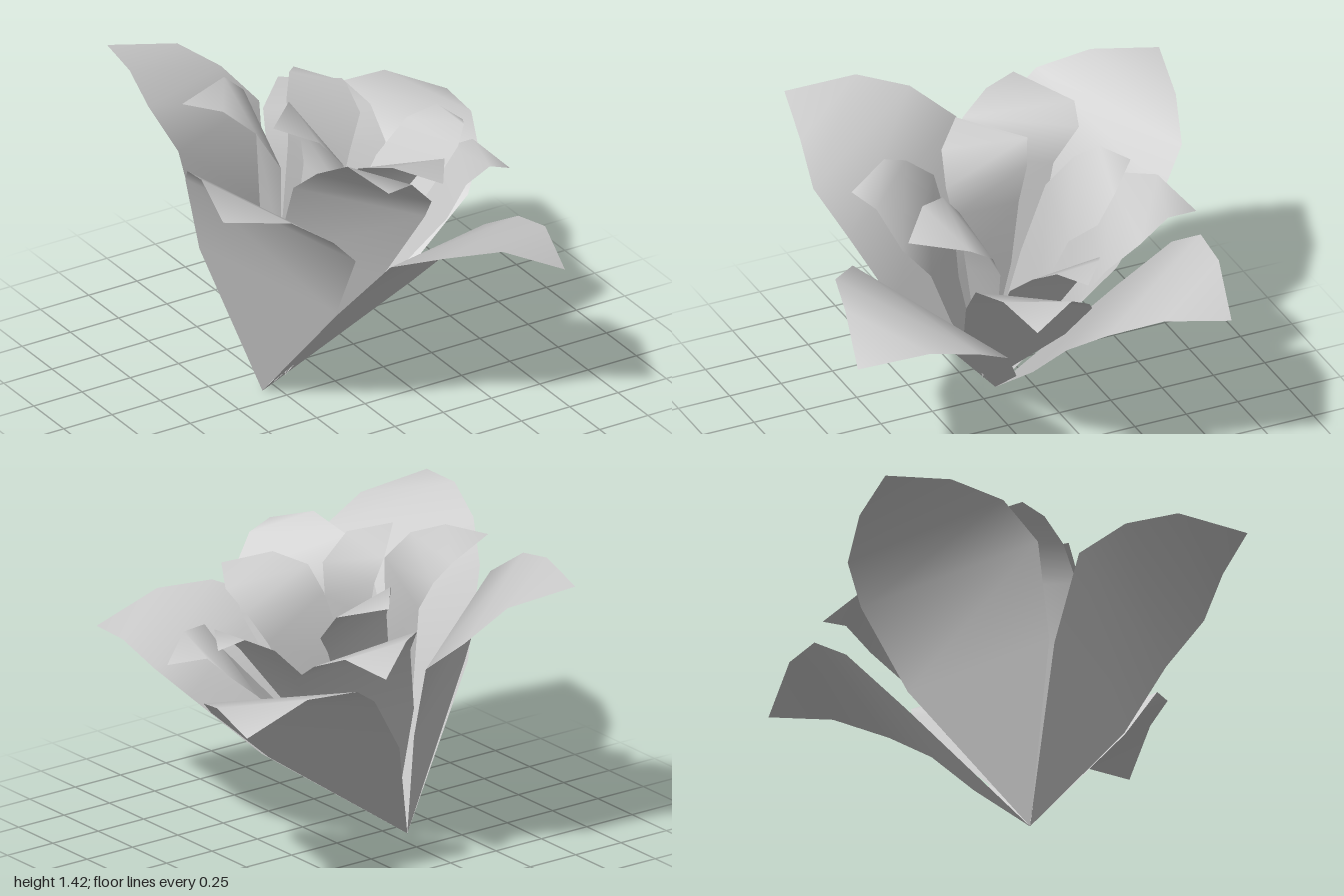
import * as THREE from 'three';

const material = new THREE.MeshStandardMaterial({ color: 0xcccccc, side: THREE.DoubleSide });
const vec = (p) => new THREE.Vector3(...p);

// A petal is a strip of straight cross-sections from a pointed base to a folded tip.
// The rim runs up the left edge (3 points), over the tip and down the right edge (3 points).
function makePetal(name, base, rim) {
  const root = vec(base);
  const pts = rim.map(vec);
  const rows = [[pts[0], pts[6]], [pts[1], pts[5]], [pts[2], pts[4]]];

  // lowest row: part way to the base and a little wider than a straight taper
  const [left, right] = rows[0];
  const mid = left.clone().add(right).multiplyScalar(0.5);
  rows.unshift([left, right].map((p) =>
    p.clone().sub(mid).multiplyScalar(1.25).add(mid).sub(root).multiplyScalar(0.64).add(root)));

  const verts = [root, ...rows.flat(), pts[3]];
  const index = [0, 2, 1];
  for (let i = 0; i < rows.length - 1; i++) {
    const a = 1 + 2 * i; // left, right, next left, next right = a .. a + 3
    index.push(a, a + 1, a + 3, a, a + 3, a + 2);
  }
  index.push(7, 8, 9);

  const geometry = new THREE.BufferGeometry().setFromPoints(verts);
  geometry.setIndex(index);
  geometry.computeVertexNormals();
  const mesh = new THREE.Mesh(geometry, material);
  mesh.name = name;
  return mesh;
}

// Four large outer petals
const outer = {
  Front: [[-0.14, 0.92, 0.69], [0.04, 0.99, 0.86], [0.29, 0.985, 0.93], [0.57, 0.85, 1.0],
    [0.66, 0.9, 0.69], [0.67, 0.84, 0.45], [0.6, 0.74, 0.28]],
  Left: [[0.29, 0.93, -0.66], [0.44, 1.03, -0.73], [0.69, 1.04, -0.7], [0.97, 0.9, -0.63],
    [0.91, 0.94, -0.33], [0.81, 0.87, -0.1], [0.67, 0.755, 0.03]],
  Back: [[0.06, 1.05, -0.73], [-0.05, 1.19, -0.87], [-0.24, 1.33, -0.93], [-0.56, 1.38, -1.0],
    [-0.63, 1.41, -0.7], [-0.68, 1.35, -0.46], [-0.65, 1.21, -0.26]],
  Right: [[-0.29, 0.97, 0.64], [-0.46, 1.15, 0.73], [-0.66, 1.29, 0.7], [-0.97, 1.35, 0.63],
    [-0.89, 1.4, 0.32], [-0.82, 1.32, 0.09], [-0.72, 1.17, -0.09]],
};

// Four middle petals
const middle = {
  Front: [[-0.34, 1.15, 0.2], [-0.31, 1.28, 0.35], [-0.24, 1.36, 0.49], [-0.15, 1.29, 0.69],
    [0.0, 1.27, 0.64], [0.14, 1.12, 0.58], [0.18, 0.98, 0.46]],
  Left: [[0.55, 0.86, -0.15], [0.65, 0.95, -0.09], [0.7, 1.02, 0.02], [0.77, 0.945, 0.22],
    [0.61, 1.04, 0.31], [0.45, 1.02, 0.37], [0.35, 0.88, 0.37]],
  Back: [[0.43, 0.95, -0.27], [0.45, 1.06, -0.43], [0.4, 1.13, -0.59], [0.31, 1.07, -0.77],
    [0.12, 1.18, -0.67], [-0.05, 1.14, -0.52], [-0.11, 1.0, -0.39]],
  Right: [[-0.36, 1.22, 0.13], [-0.42, 1.36, 0.02], [-0.5, 1.425, -0.13], [-0.6, 1.41, -0.31],
    [-0.29, 1.39, -0.46], [-0.2, 1.31, -0.44], [-0.21, 1.15, -0.32]],
};

// Four small inner petals
const inner = {
  Front: [[-0.08, 1.1, 0.2], [-0.06, 1.21, 0.29], [0.03, 1.25, 0.43], [0.2, 1.19, 0.58],
    [0.35, 1.17, 0.35], [0.33, 1.09, 0.23], [0.26, 0.95, 0.16]],
  Left: [[0.35, 0.93, -0.22], [0.5, 1.08, -0.21], [0.62, 1.14, -0.15], [0.7, 1.08, -0.06],
    [0.63, 1.13, 0.06], [0.55, 1.08, 0.14], [0.4, 0.95, 0.18]],
  Back: [[0.2, 1.0, -0.2], [0.31, 1.12, -0.29], [0.29, 1.24, -0.38], [0.12, 1.29, -0.54],
    [0.03, 1.34, -0.43], [-0.04, 1.27, -0.34], [-0.1, 1.12, -0.23]],
  Right: [[-0.1, 1.07, 0.22], [-0.11, 1.22, 0.25], [-0.22, 1.35, 0.22], [-0.37, 1.4, 0.08],
    [-0.14, 1.36, -0.16], [-0.1, 1.24, -0.14], [-0.1, 1.07, -0.1]],
};

export function createModel() {
  const flower = new THREE.Group();
  flower.name = 'flower';
  const rings = [
    ['outerPetal', [-0.32, 0, -0.09], outer],
    ['middlePetal', [-0.29, 0.06, -0.04], middle],
    ['innerPetal', [-0.26, 0.1, 0], inner],
  ];
  for (const [name, base, petals] of rings) {
    const ring = new THREE.Group();
    ring.name = name + 's';
    for (const [side, rim] of Object.entries(petals)) ring.add(makePetal(name + side, base, rim));
    flower.add(ring);
  }
  return flower;
}
